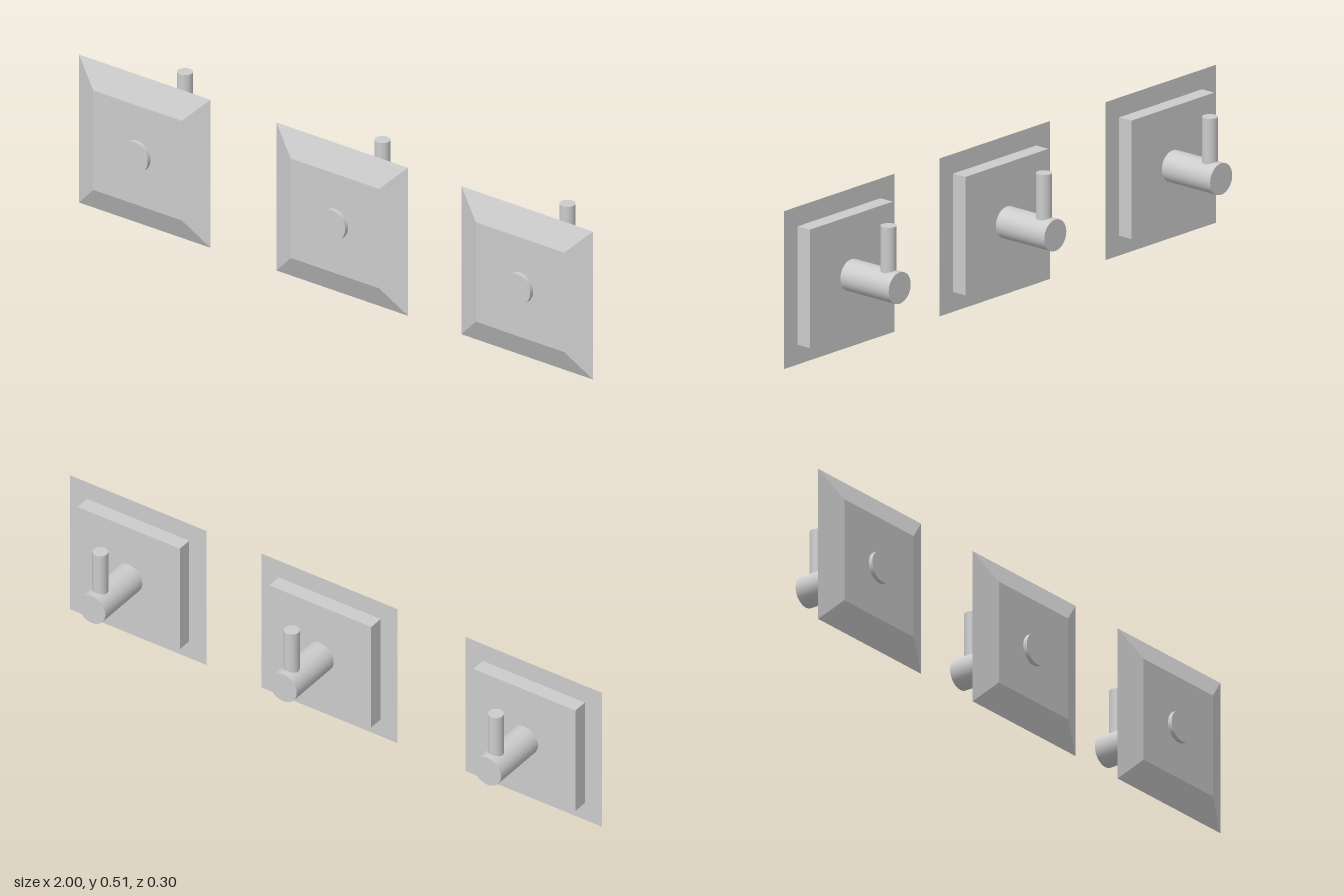
import * as THREE from 'three';

const CENTER_Y = 0.256;
const HOOK_X = [-0.744, 0.024, 0.744];

const smooth = new THREE.MeshStandardMaterial({ color: 0xcccccc });
const faceted = new THREE.MeshStandardMaterial({ color: 0xcccccc, flatShading: true });

function addPart(group, name, geometry, material, y, z) {
  const mesh = new THREE.Mesh(geometry, material);
  mesh.name = name;
  mesh.position.set(0, y, z);
  group.add(mesh);
}

// Square plate with bevelled edges, narrowing toward +z
function bevelledPlate(frontSize, backSize, depth) {
  return new THREE.CylinderGeometry(frontSize / Math.SQRT2, backSize / Math.SQRT2, depth, 4)
    .rotateY(Math.PI / 4)
    .rotateX(Math.PI / 2);
}

function createHook() {
  const hook = new THREE.Group();
  addPart(hook, 'bevelledPlate', bevelledPlate(0.344, 0.512, 0.037), faceted, CENTER_Y, 0.1185);
  addPart(hook, 'mountingBlock', new THREE.BoxGeometry(0.384, 0.384, 0.052), faceted, CENTER_Y, 0.075);
  // Round peg running through the plate
  const peg = new THREE.CylinderGeometry(0.051, 0.051, 0.303, 48).rotateX(Math.PI / 2);
  addPart(hook, 'peg', peg, smooth, CENTER_Y, 0);
  // Upright pin, its foot sunk just into the peg
  addPart(hook, 'uprightPin', new THREE.CylinderGeometry(0.025, 0.025, 0.16, 32), smooth, 0.369, -0.105);
  return hook;
}

export function createModel() {
  const model = new THREE.Group();
  model.name = 'wallHooks';
  HOOK_X.forEach((x, i) => {
    const hook = createHook();
    hook.name = ['rightHook', 'middleHook', 'leftHook'][i];
    hook.position.x = x;
    model.add(hook);
  });
  return model;
}
